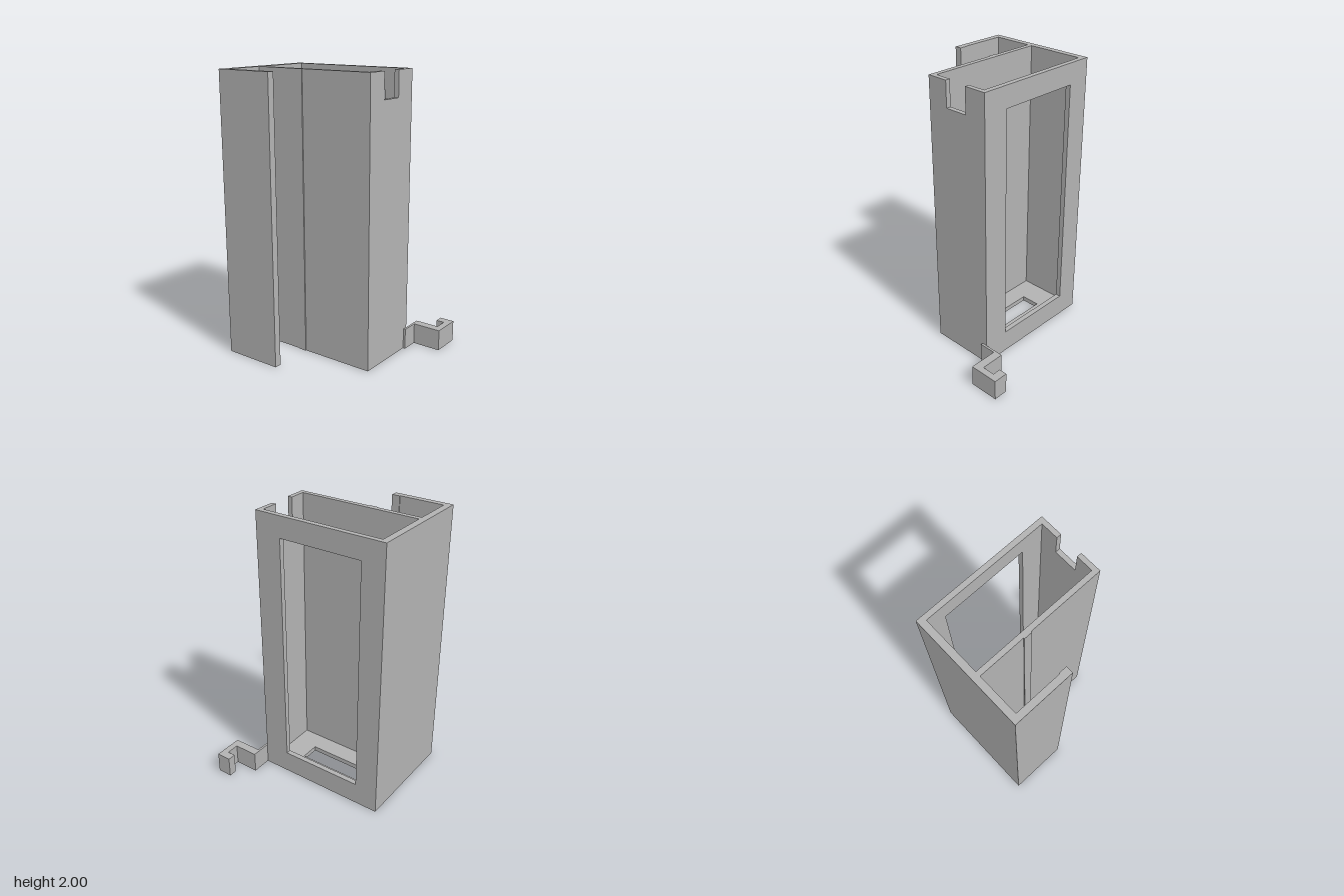
import * as THREE from 'three';

const toShape = (pts) => new THREE.Shape(pts.map(([x, y]) => new THREE.Vector2(x, y)));
const rect = (x0, y0, x1, y1) => [[x0, y0], [x1, y0], [x1, y1], [x0, y1]];

function extrude(pts, depth, hole) {
  const shape = toShape(pts);
  if (hole) shape.holes.push(toShape(hole));
  return new THREE.ExtrudeGeometry(shape, { depth, bevelEnabled: false });
}

// Plan outline given as (x, z), raised from y = 0 to the height
const raisePlan = (pts, height, hole) =>
  extrude(pts, height, hole).rotateX(Math.PI / 2).translate(0, height, 0);

export function createModel() {
  const group = new THREE.Group();
  const grey = new THREE.MeshStandardMaterial({ color: 0xb2b2b2 });
  grey.name = 'grey plastic';
  const add = (name, geometry) => {
    const mesh = new THREE.Mesh(geometry, grey);
    mesh.name = name;
    group.add(mesh);
  };

  // Outer and inner faces of the box
  const L = -0.6, Li = -0.553, R = 0.37, Ri = 0.336;
  const B = -0.26, Bi = -0.223, F = 0.225, Fi = 0.19;

  // Long side wall, front wall and wrap-around clip, with facing grip ridges
  add('sideFrontAndClipWalls', raisePlan([
    [L, B], [Li, B], [Li, Fi], [R, Fi], [R, F],
    [-0.172, F], [-0.172, 0.232], [-0.23, 0.232], [-0.23, F], [Li, F],
    [Li, 0.51], [-0.23, 0.51], [-0.23, 0.505], [-0.172, 0.505],
    [-0.172, 0.555], [L, 0.555],
  ], 2));

  // Back wall with tall window
  add('backWall', extrude(rect(Li, 0, R, 2), Bi - B, rect(-0.432, 0.162, 0.18, 1.85))
    .translate(0, 0, B));

  // Side wall with a notch in its top edge, outline given as (z, y)
  add('notchedWall', extrude([
    [Bi, 0], [Fi, 0], [Fi, 2], [0.07, 2], [0.07, 1.82],
    [-0.097, 1.82], [-0.097, 2], [Bi, 2],
  ], R - Ri).rotateY(-Math.PI / 2).translate(R, 0, 0));

  // Floor with slot
  add('floor', raisePlan(rect(Li, Bi, Ri, Fi), 0.035, rect(-0.37, -0.087, 0.153, 0.053)));

  // Small hook at the back corner
  add('hook', raisePlan([
    [0.371, -0.222], [0.387, -0.222], [0.387, -0.345], [0.594, -0.345],
    [0.594, -0.558], [0.488, -0.558], [0.488, -0.498], [0.548, -0.498],
    [0.548, -0.405], [0.371, -0.405],
  ], 0.152));

  return group;
}
